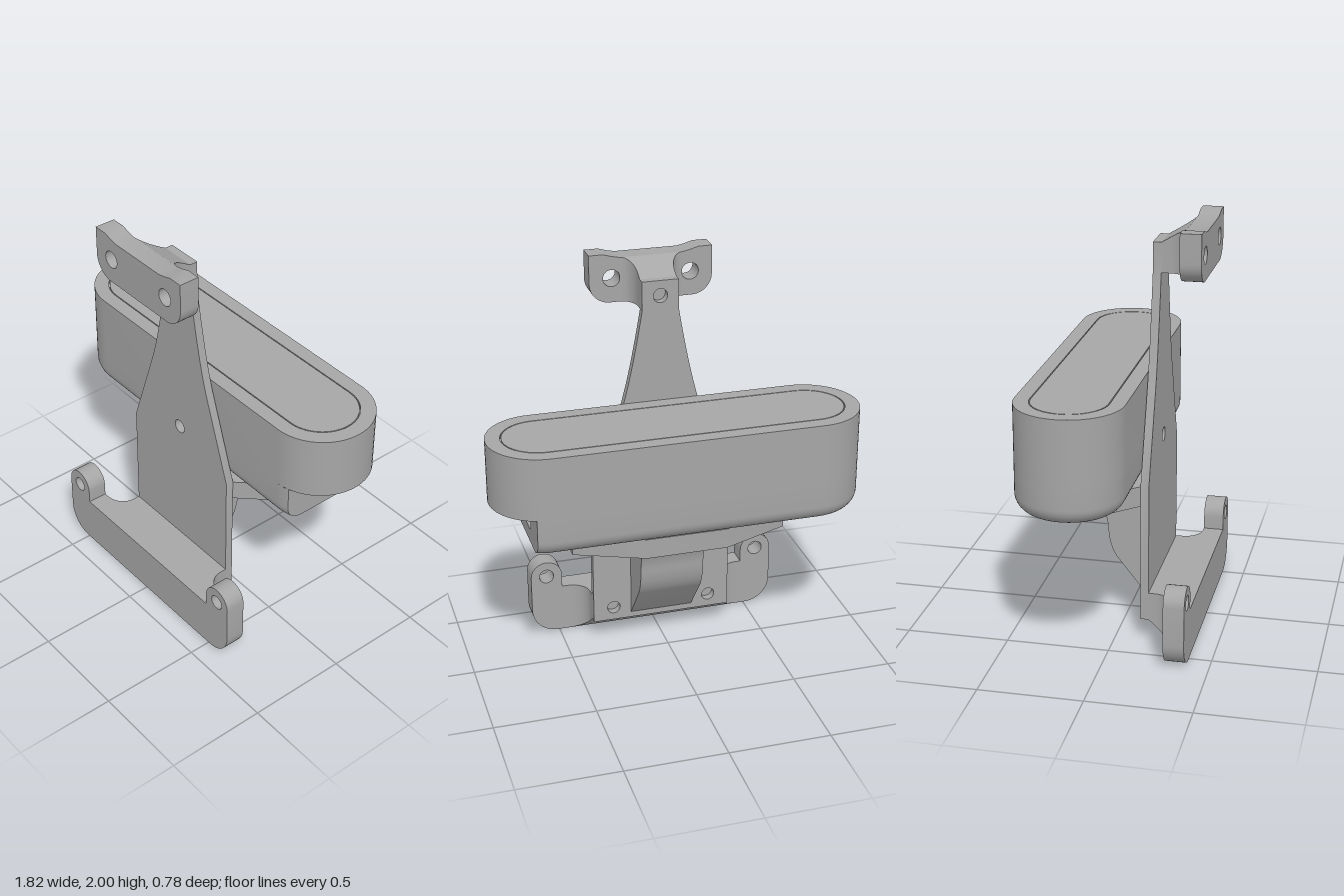
import * as THREE from 'three';
import { toCreasedNormals } from 'three/addons/utils/BufferGeometryUtils.js';

export function createModel() {
  const model = new THREE.Group();
  const grey = new THREE.MeshStandardMaterial({ color: 0xa6a6a6, side: THREE.DoubleSide });
  grey.name = 'grey plastic';

  const add = (name, geometry) => {
    const mesh = new THREE.Mesh(toCreasedNormals(geometry, 0.5), grey);
    mesh.name = name;
    model.add(mesh);
    return mesh;
  };
  const extrude = (shape, depth) =>
    new THREE.ExtrudeGeometry(shape, { depth, bevelEnabled: false, curveSegments: 20 });
  // Shape drawn in x/y, extruded towards +z
  const alongZ = (shape, z0, z1) => extrude(shape, z1 - z0).translate(0, 0, z0);
  // Shape drawn in x/-z, extruded upwards
  const alongY = (shape, y0, y1) => extrude(shape, y1 - y0).rotateX(-Math.PI / 2).translate(0, y0, 0);
  const poly = (pts) => new THREE.Shape(pts.map(([x, y]) => new THREE.Vector2(x, y)));
  const drill = (shape, x, y, r) =>
    shape.holes.push(new THREE.Path().absarc(x, y, r, 0, Math.PI * 2, true));
  // Mirrors the right half of an outline, given from bottom to top
  const mirrored = (half) => poly([...half, ...half.map(([x, y]) => [-x, y]).reverse()]);
  const arc = (cx, cy, rx, ry, a0, a1, n = 12) =>
    Array.from({ length: n + 1 }, (_, i) => {
      const a = THREE.MathUtils.degToRad(a0 + ((a1 - a0) * i) / n);
      return [cx + rx * Math.cos(a), cy + ry * Math.sin(a)];
    });

  // Tapered back plate with screw holes
  const taper = new THREE.QuadraticBezierCurve(
    new THREE.Vector2(0.2, 1.25), new THREE.Vector2(0.147, 1.42), new THREE.Vector2(0.09, 1.76));
  const plate = mirrored([[0.355, 0.11], [0.355, 0.8],
    ...taper.getPoints(12).map((p) => [p.x, p.y]), [0.09, 1.905]]);
  drill(plate, 0, 0.935, 0.035);
  drill(plate, 0, 1.83, 0.035);
  for (const s of [-1, 1]) drill(plate, s * 0.25, 0.18, 0.033);
  add('backPlate', alongZ(plate, 0.125, 0.165));

  // Lower bar with a raised, drilled ear at each end
  const bar = mirrored([...arc(0.51, 0.13, 0.13, 0.13, -90, 0),
    ...arc(0.56, 0.318, 0.08, 0.08, 0, 180), [0.48, 0.25]]);
  for (const s of [-1, 1]) drill(bar, s * 0.56, 0.318, 0.037);
  add('lowerBar', alongZ(bar, 0.29, 0.39));

  // Upper bracket with two holes and a shallow notch on top
  const bracket = mirrored([...arc(0.205, 1.86, 0.1, 0.1, -90, 0),
    [0.305, 2], [0.235, 2], [0.195, 1.988], [0.155, 1.98]]);
  for (const s of [-1, 1]) drill(bracket, s * 0.195, 1.88, 0.042);
  add('upperBracket', alongZ(bracket, 0.29, 0.39));

  // Flared spacers joining the plate to the bars; one end slopes with z
  function spacer(name, half, flare, y0, y1, slopedY, slope) {
    const outline = mirrored([[half + flare, -0.29],
      ...arc(half + flare, -0.2, flare, 0.09, 270, 180), [half, -0.165]]);
    const geometry = alongY(outline, y0, y1);
    const p = geometry.attributes.position;
    for (let i = 0; i < p.count; i++) {
      if (Math.abs(p.getY(i) - slopedY) < 1e-4) {
        p.setY(i, slopedY + slope * (0.29 - p.getZ(i)));
      }
    }
    add(name, geometry);
  }
  spacer('lowerSpacer', 0.355, 0.1, 0, 0.25, 0, 0.88);
  spacer('upperSpacer', 0.09, 0.065, 1.76, 1.98, 1.98, -0.6);

  // Shelf under the pod
  const shelf = mirrored([[0.355, -0.125], [0.53, 0.06], [0.53, 0.2], [0.2, 0.335]]);
  for (const s of [-1, 1]) drill(shelf, s * 0.44, 0.13, 0.03);
  add('shelf', alongY(shelf, 0.695, 0.795));

  // Curved gusset carrying the shelf
  const gusset = new THREE.Shape();
  gusset.moveTo(0.125, 0.14);
  gusset.lineTo(-0.03, 0.335);
  gusset.quadraticCurveTo(-0.07, 0.39, -0.075, 0.48);
  gusset.bezierCurveTo(-0.08, 0.6, -0.15, 0.69, -0.27, 0.695);
  gusset.lineTo(0.125, 0.695);
  add('gusset', extrude(gusset, 0.32).rotateY(-Math.PI / 2).translate(0.16, 0, 0));

  // Pod: stadium body, rim and inset lid
  const podC = 0.655, podR = 0.255, podZ = -0.135, cutX = 0.73;
  const stadium = (r) => poly([...arc(podC, -podZ, r, r, -90, 90, 32),
    ...arc(-podC, -podZ, r, r, 90, 270, 32)]);
  add('podUpper', alongY(stadium(podR), 0.99, 1.285));
  const rim = stadium(podR);
  rim.holes.push(stadium(0.183));
  add('podRim', alongY(rim, 1.285, 1.3));
  add('podLid', alongY(stadium(0.178), 1.285, 1.3));

  // Lower pod shell: cross-sections with a rounded bottom, cut off at one end
  const fillet = 0.08, floorY = 0.795;
  const rows = [[0.99, 0], ...arc(0, floorY + fillet, fillet, fillet, 0, -90, 10)
    .map(([x, y], i) => (i === 0 ? [y, 0] : [y, fillet - x]))];
  const positions = [], index = [];
  let count = 0;
  for (const [y, inset] of rows) {
    const r = podR - inset;
    const a = THREE.MathUtils.radToDeg(Math.acos((cutX - podC) / r));
    const ring = [...arc(podC, podZ, r, r, a, 90, 16), ...arc(-podC, podZ, r, r, 90, 270, 32),
      ...arc(podC, podZ, r, r, 270, 360 - a, 16)];
    count = ring.length;
    for (const [x, z] of ring) positions.push(x, y, z);
  }
  for (let i = 0; i < count; i++) positions.push(cutX, floorY, podZ);
  for (let j = 0; j < rows.length; j++) {
    for (let i = 0; i < count - 1; i++) {
      const a = j * count + i, c = a + count;
      index.push(a, a + 1, c);
      if (j < rows.length - 1) index.push(a + 1, c + 1, c);
    }
  }
  const shell = new THREE.BufferGeometry();
  shell.setAttribute('position', new THREE.Float32BufferAttribute(positions, 3));
  shell.setIndex(index);
  add('podLower', shell);

  // End wall of the cut-out with its cable slot
  const side = rows.map(([y, d]) => [Math.sqrt((podR - d) ** 2 - (cutX - podC) ** 2), y]);
  const wall = mirrored(side.reverse());
  wall.holes.push(poly([...arc(0.06, 0.893, 0.029, 0.029, -90, 90),
    ...arc(-0.06, 0.893, 0.029, 0.029, 90, 270)]));
  add('slotWall', extrude(wall, 0.05).rotateY(-Math.PI / 2).translate(cutX, 0, podZ));
  add('slotBack', new THREE.BoxGeometry(0.01, 0.08, 0.2).translate(cutX - 0.055, 0.893, podZ));

  return model;
}
